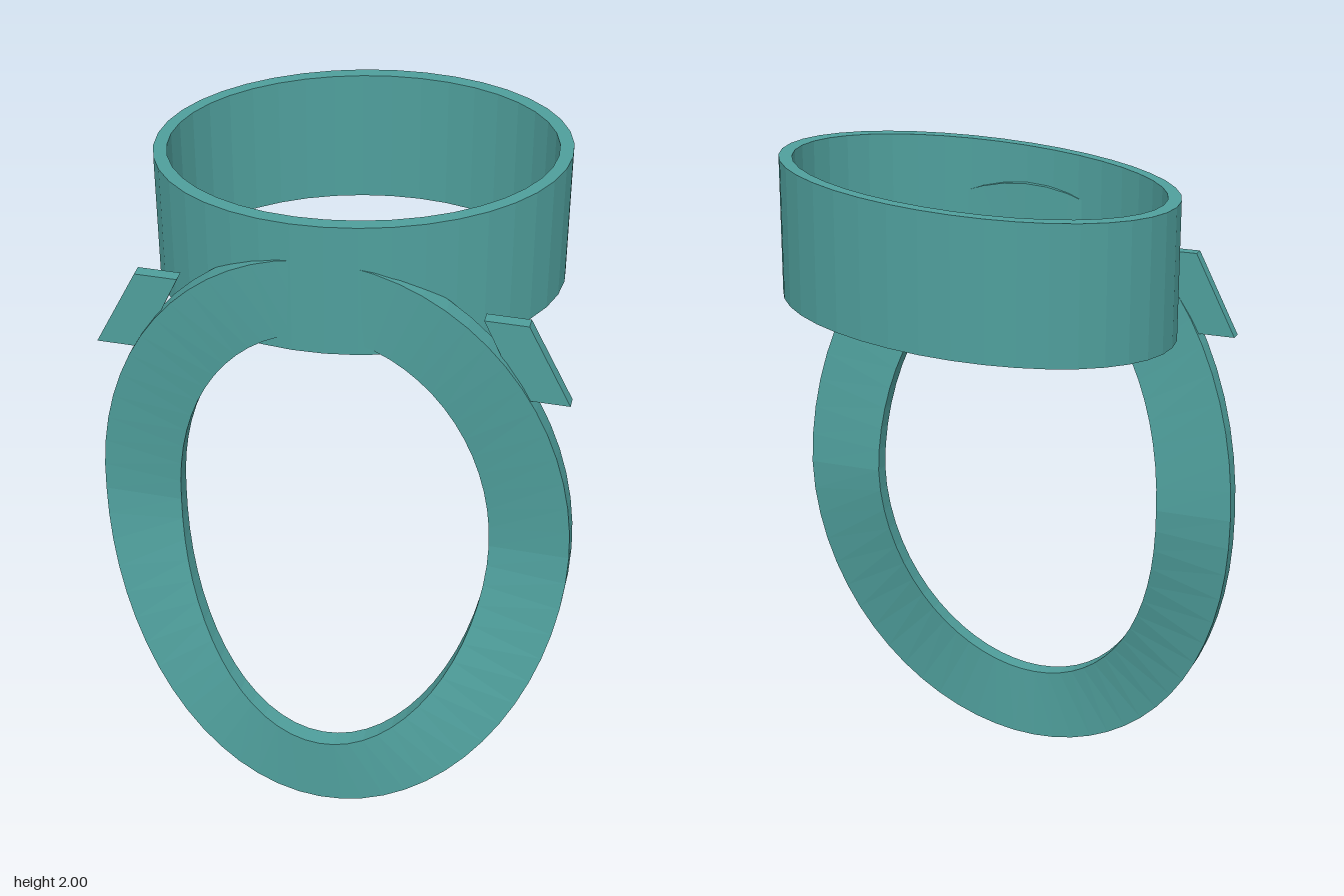
import * as THREE from 'three';

// Closed loop of four-cornered cross-sections, corners ordered
// outer-front, outer-back, inner-back, inner-front along a counter-clockwise path.
function sweepLoop(segments, section) {
  const positions = [];
  const index = [];
  for (let i = 0; i < segments; i++) {
    for (const corner of section((i / segments) * Math.PI * 2)) positions.push(...corner);
    const next = (i + 1) % segments;
    for (let k = 0; k < 4; k++) {
      const k2 = (k + 1) % 4;
      const a = i * 4 + k, b = i * 4 + k2, c = next * 4 + k2, d = next * 4 + k;
      index.push(a, b, c, a, c, d);
    }
  }
  const indexed = new THREE.BufferGeometry();
  indexed.setAttribute('position', new THREE.Float32BufferAttribute(positions, 3));
  indexed.setIndex(index);
  const geometry = indexed.toNonIndexed();
  geometry.computeVertexNormals();
  return geometry;
}

export function createModel() {
  const group = new THREE.Group();
  const teal = new THREE.MeshStandardMaterial({ color: 0x4f9f9c, flatShading: true });
  teal.name = 'teal';

  const add = (name, geometry) => {
    const mesh = new THREE.Mesh(geometry, teal);
    mesh.name = name;
    group.add(mesh);
    return mesh;
  };

  // Oval band, its top and bottom rims slanting up towards +x
  add('ovalBand', sweepLoop(40, (a) => {
    const at = (rx, rz, y) => {
      const x = rx * Math.cos(a);
      return [x, y + x * 0.07, -0.056 - rz * Math.sin(a)];
    };
    return [at(0.567, 0.422, 1.96), at(0.567, 0.422, 1.57), at(0.53, 0.385, 1.57), at(0.53, 0.385, 1.96)];
  }));

  // Upright oval loop, bowed forward above and below its middle
  add('hangingLoop', sweepLoop(64, (a) => {
    const s = Math.sin(a);
    const front = 0.285 + (s > 0 ? 0.076 : 0.193) * Math.pow(Math.abs(s), 1.5);
    const at = (rx, ry, z) => [rx * Math.cos(a), 0.926 + ry * s, z];
    return [at(0.674, 0.926, front), at(0.674, 0.926, front - 0.05),
      at(0.448, 0.698, front - 0.05), at(0.448, 0.698, front)];
  }));

  // Slanted tabs at the shoulders
  for (const side of [1, -1]) {
    const shape = new THREE.Shape([[0.412, 1.705], [0.53, 1.705], [0.65, 1.47], [0.522, 1.47]]
      .map(([x, y]) => new THREE.Vector2(x * side, y)));
    const tab = add(side > 0 ? 'leftTab' : 'rightTab',
      new THREE.ExtrudeGeometry(shape, { depth: 0.034, bevelEnabled: false }));
    tab.position.z = 0.28;
  }

  return group;
}
